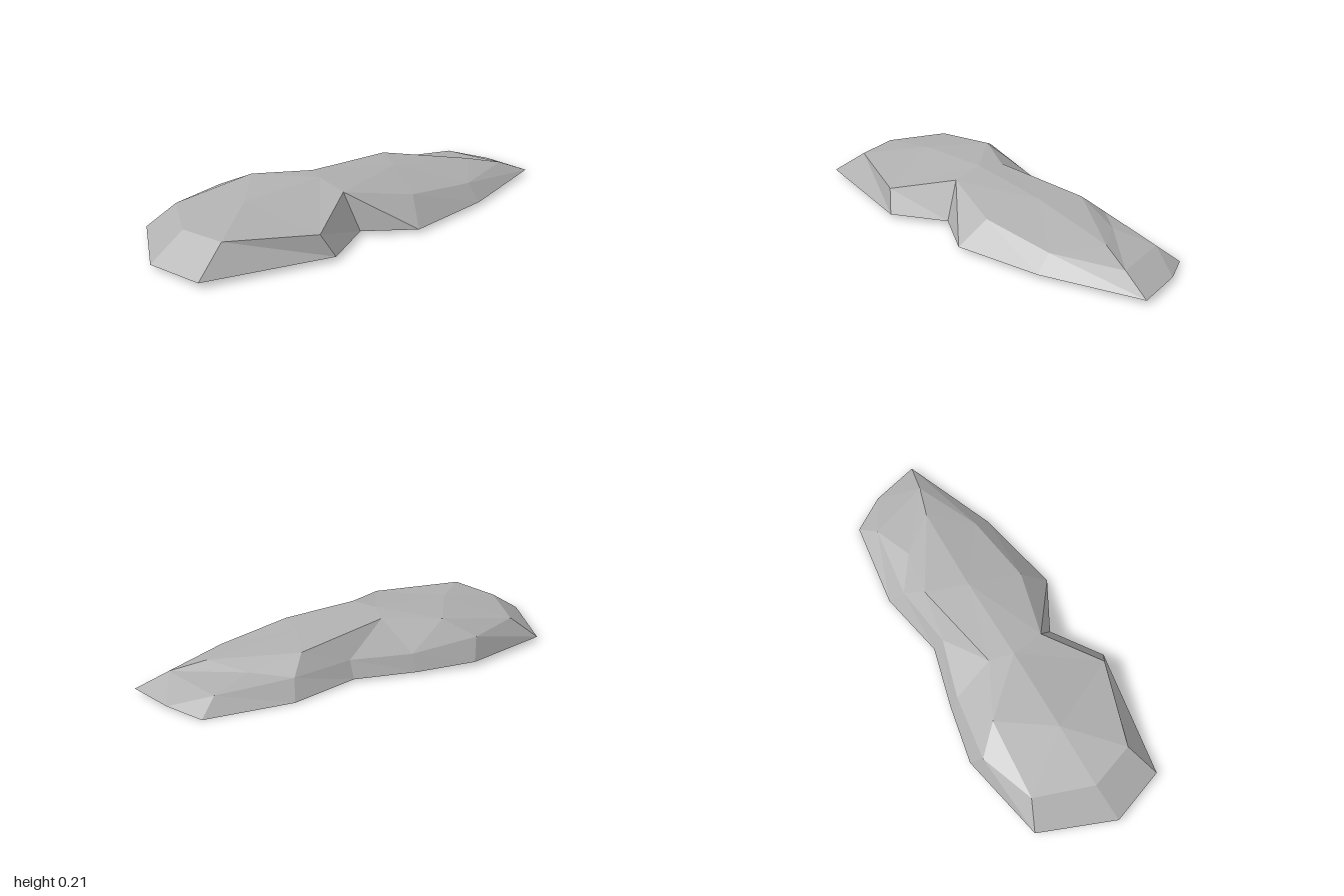
import * as THREE from 'three';

// Open, faceted rock slab: foot outline (a-n), shoulder ring (A-N), crown points (P-W)
const points = {
  // foot outline
  a: [-1, 0.02, -0.02], b: [-0.83, 0.02, -0.36], c: [-0.4, 0.02, -0.41], d: [-0.13, 0.01, -0.33],
  e: [0.15, 0.01, -0.23], f: [0.48, 0.003, -0.265], g: [0.88, 0, -0.175], h: [0.96, 0.018, -0.01],
  i: [1, 0.018, 0.22], j: [0.54, 0.017, 0.36], k: [0.12, 0.017, 0.41], l: [-0.1, 0.018, 0.265],
  m: [-0.34, 0.02, 0.4], n: [-0.93, 0.024, 0.25],
  // shoulder ring
  A: [-0.83, 0.13, -0.03], B: [-0.71, 0.125, -0.295], C: [-0.44, 0.12, -0.365], D: [-0.13, 0.085, -0.29],
  E: [0.14, 0.085, -0.185], F: [0.44, 0.085, -0.2], G: [0.79, 0.065, -0.12], I: [0.855, 0.082, 0.175],
  J: [0.535, 0.09, 0.285], K: [0.18, 0.132, 0.295], L: [-0.13, 0.187, 0.18], M: [-0.39, 0.122, 0.355],
  N: [-0.775, 0.14, 0.19],
  // crown
  P: [-0.53, 0.183, -0.01], Q: [-0.34, 0.19, -0.24], R: [-0.1, 0.196, -0.09], S: [-0.14, 0.208, 0.02],
  T: [0.27, 0.178, 0.055], U: [0.36, 0.158, -0.13], V: [0.59, 0.1, -0.07], W: [0.7, 0.12, 0.11],
};

const crownFaces = 'ANP NMP MSP MLS APB BPQ BQC CQD PSQ QSR QRD DRE RUE RTU ' +
  'RST SLT LKT KJT JWT JIW TWU UWV VWI VIG VGF UVF UFE';

// Skirt: two facets for each pair of neighbouring outline points
function skirtFaces() {
  const faces = ['gGh', 'hGI', 'hIi'];
  const run = 'ijklmnabcdefg';
  for (let s = 0; s < run.length - 1; s++) {
    const p = run[s], q = run[s + 1];
    const P = p.toUpperCase(), Q = q.toUpperCase();
    faces.push(p + P + Q, p + Q + q);
  }
  return faces;
}

// Every facet is turned so that it faces upward
function facetGeometry(faces) {
  const positions = [];
  for (const face of faces) {
    const [p, q, r] = [...face].map((key) => new THREE.Vector3(...points[key]));
    const up = q.clone().sub(p).cross(r.clone().sub(p)).y > 0;
    for (const v of up ? [p, q, r] : [p, r, q]) positions.push(v.x, v.y, v.z);
  }
  const geometry = new THREE.BufferGeometry();
  geometry.setAttribute('position', new THREE.Float32BufferAttribute(positions, 3));
  geometry.computeVertexNormals();
  return geometry;
}

export function createModel() {
  const stone = new THREE.MeshStandardMaterial({ color: 0xb0b0b0, flatShading: true, side: THREE.DoubleSide });
  stone.name = 'stone grey';

  const group = new THREE.Group();
  group.name = 'rock';
  const parts = { rockCrown: crownFaces.split(' '), rockSkirt: skirtFaces() };
  for (const [name, faces] of Object.entries(parts)) {
    const mesh = new THREE.Mesh(facetGeometry(faces), stone);
    mesh.name = name;
    group.add(mesh);
  }
  return group;
}
